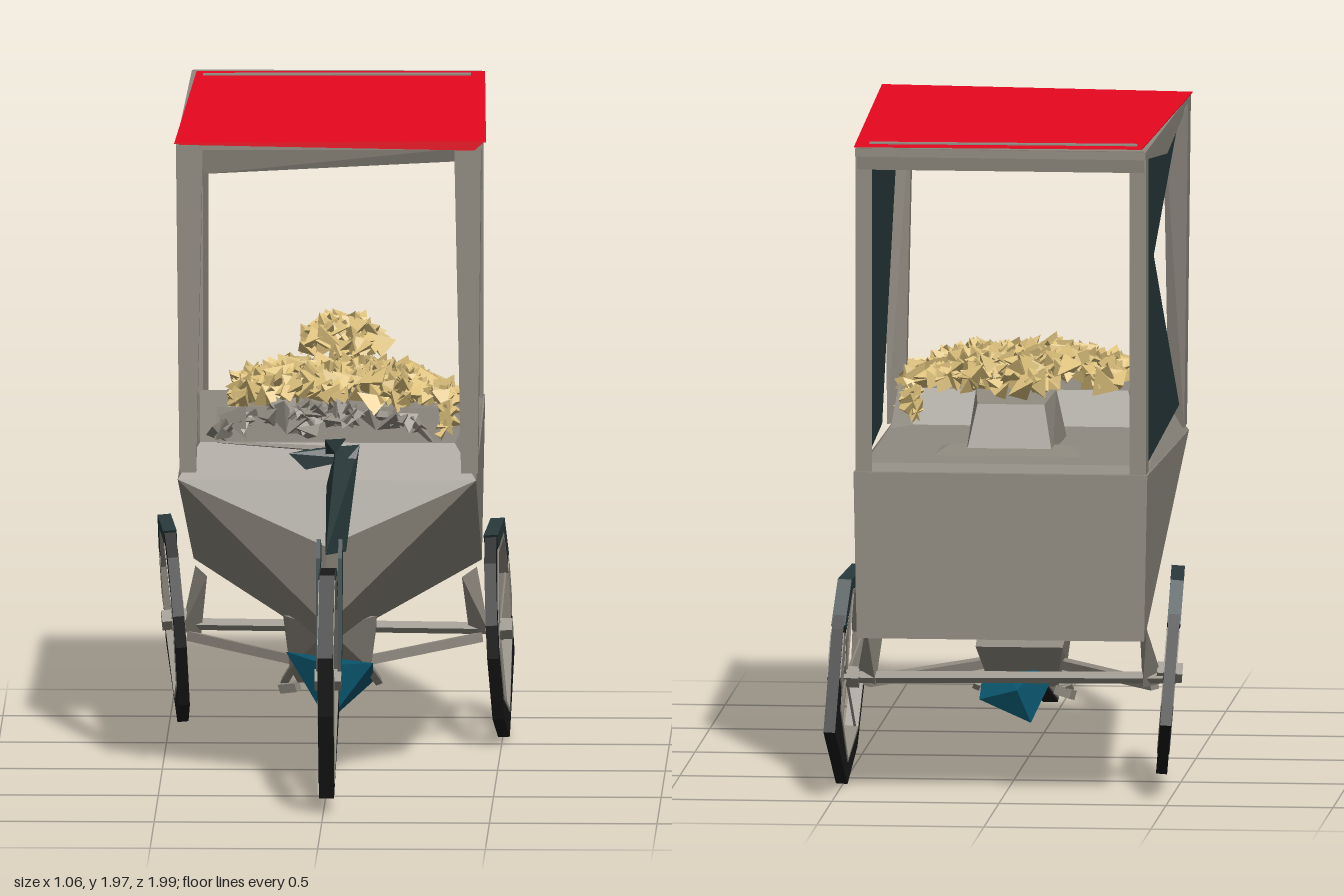
import * as THREE from 'three';
import { mergeGeometries } from 'three/addons/utils/BufferGeometryUtils.js';
import { ConvexGeometry } from 'three/addons/geometries/ConvexGeometry.js';

const paint = (name, color, double) => {
  const m = new THREE.MeshStandardMaterial({ color, flatShading: true });
  m.name = name;
  if (double) m.side = THREE.DoubleSide;
  return m;
};

export function createModel() {
  const root = new THREE.Group();
  root.name = 'cargoTricycle';
  const grey = paint('warmGrey', 0x8f8a80, true);
  const red = paint('roofRed', 0xea0620);
  const slate = paint('darkSlate', 0x293a3c, true);
  const gold = paint('strawGold', 0xdcc07c);
  const black = paint('tyreBlack', 0x1a1a1b);
  const blue = paint('deepBlue', 0x0a546c);

  const add = (name, geometry, material, parent = root) => {
    const mesh = new THREE.Mesh(geometry, material);
    mesh.name = name;
    parent.add(mesh);
    return mesh;
  };
  // convex solid around a few corner points
  const hull = (name, pts, material) =>
    add(name, new ConvexGeometry(pts.map(p => new THREE.Vector3(...p))), material);
  // the same point on both sides
  const both = (x, y, z) => [[x, y, z], [-x, y, z]];
  // flat plate in the z-y plane, centred on x
  const plate = (name, pts, x, thick, material, hole, parent) => {
    const toV = p => new THREE.Vector2(...p);
    const shape = new THREE.Shape(pts.map(toV));
    if (hole) shape.holes.push(new THREE.Path(hole.map(toV)));
    const g = new THREE.ExtrudeGeometry(shape, { depth: thick, bevelEnabled: false });
    g.rotateY(-Math.PI / 2).translate(x + thick / 2, 0, 0);
    return add(name, g, material, parent);
  };
  // straight bar between two points
  const bar = (name, a, b, r, material, parent, r2 = r) => {
    const A = new THREE.Vector3(...a), B = new THREE.Vector3(...b), d = B.clone().sub(A);
    const mesh = add(name, new THREE.CylinderGeometry(r2, r, d.length(), 4), material, parent);
    mesh.position.copy(A).add(B).multiplyScalar(0.5);
    mesh.quaternion.setFromUnitVectors(new THREE.Vector3(0, 1, 0), d.normalize());
  };

  // boat-shaped cargo body with raised deck
  hull('body', [...both(0.445, 0.94, 0.38), ...both(0.44, 0.99, -0.95), ...both(0.43, 0.49, -0.95),
    [0, 0.75, 0.455], [0, 0.5, 0.39], [0, 0.42, 0.25]], grey);
  hull('deck', [...both(0.445, 0.94, 0.38), ...both(0.44, 0.98, -0.94),
    ...both(0.38, 1.04, 0.3), ...both(0.41, 1.01, -0.88)], grey);
  hull('underbody', [[0, 0.47, 0.26], ...both(0.14, 0.47, 0), ...both(0.13, 0.38, -0.33),
    ...both(0.12, 0.3, -0.05), ...both(0.1, 0.24, -0.17)], grey);

  // corner posts
  for (const s of [-1, 1]) {
    const o = s > 0 ? 0.01 : 0, side = s > 0 ? 'left' : 'right';
    hull(side + 'FrontPost', [0, 1].flatMap(t => {
      const y = t ? 1.95 : 0.96, z = t ? 0.39 : 0.37, out = 0.44 + t * 0.01 + o, inn = 0.39 - t * 0.02 + o;
      return [[s * out, y, z], [s * inn, y, z], [s * out, y, z - 0.09], [s * inn, y, z - 0.05]];
    }), grey);
    hull(side + 'RearPost', [0.99, 1.95].flatMap(y =>
      [[s * 0.435, y, -0.935], [s * 0.385, y, -0.935], [s * 0.435, y, -0.86], [s * 0.4, y, -0.87]]), grey);
    plate(side + 'RoofRail', [[0.39, 1.955], [0.3, 1.9], [-0.24, 1.86], [-0.93, 1.94], [-0.94, 1.96]],
      s * 0.43, 0.012, grey);
  }
  // cross beams under the roof
  hull('frontBeam', [[-0.44, 1.945, 0.38], [0.46, 1.95, 0.38], [-0.36, 1.86, 0.36], [0.38, 1.9, 0.36],
    [-0.4, 1.94, 0.3], [0.4, 1.95, 0.3]], grey);
  hull('rearBeam', [...both(0.43, 1.966, -0.95), ...both(0.43, 1.9, -0.94), ...both(0.4, 1.95, -0.87)], grey);

  // roof
  hull('ceiling', [[-0.45, 1.953, 0.385], [0.465, 1.962, 0.385], ...both(0.435, 1.964, -0.95),
    [-0.45, 1.935, 0.385], [0.465, 1.94, 0.385], ...both(0.435, 1.94, -0.95)], grey);
  hull('roofCover', [[-0.455, 1.954, 0.39], [0.475, 1.963, 0.39], [-0.42, 1.965, -0.905], [0.44, 1.965, -0.93],
    [-0.455, 1.957, 0.39], [0.475, 1.968, 0.39], [-0.42, 1.968, -0.905], [0.44, 1.968, -0.93]], red);
  // red valance along the front edge
  hull('roofValance', [[-0.44, 1.955, 0.391], [0.47, 1.965, 0.391], [0.44, 1.938, 0.391], [-0.44, 1.952, 0.391],
    [-0.44, 1.955, 0.384], [0.47, 1.965, 0.384], [0.44, 1.938, 0.384]], red);
  const stripe = add('roofStripe', new THREE.BoxGeometry(0.8, 0.005, 0.03), grey);
  stripe.position.set(0, 1.969, -0.85);
  stripe.rotation.y = 0.03;

  // side curtains, each with its own cut-out
  plate('leftCurtain', [[0.28, 1.9], [-0.23, 1.87], [-0.9, 1.95], [-0.88, 1.0], [-0.27, 1.04], [-0.1, 1.32]],
    0.42, 0.01, slate);
  plate('rightCurtain', [[0.28, 1.9], [-0.23, 1.87], [-0.9, 1.95], [-0.88, 1.0], [0.28, 1.03], [-0.57, 1.6]],
    -0.42, 0.01, slate);

  // heaped goods: small angular chunks over a flat-topped mound
  let seed = 7;
  const rnd = () => (seed = (seed * 16807) % 2147483647) / 2147483647;
  const heap = (name, count, cx, cz, rx, rz, base, height, material, size) => {
    const parts = [];
    for (let i = 0; i < count; i++) {
      const a = rnd() * Math.PI * 2, r = Math.sqrt(rnd());
      const g = new THREE.TetrahedronGeometry(size * (0.6 + rnd() * 0.8));
      g.scale(1, 0.8, 1.2).rotateX(rnd() * 6).rotateY(rnd() * 6);
      const sq = 0.85 / Math.max(Math.abs(Math.cos(a)), Math.abs(Math.sin(a)));
      g.translate(cx + rx * r * sq * Math.cos(a), base + height * (1 - r ** 4) * (0.7 + 0.3 * rnd()),
        cz + rz * r * sq * Math.sin(a));
      parts.push(g);
    }
    add(name, mergeGeometries(parts), material);
  };
  hull('goodsBasket', [...both(0.34, 1.02, 0.27), ...both(0.33, 1.14, 0.26), ...both(0.34, 1.02, -0.2),
    ...both(0.31, 1.13, -0.14)], grey);
  heap('goods', 340, 0.01, 0.04, 0.34, 0.25, 1.15, 0.07, gold, 0.042);
  heap('goodsSides', 80, 0.34, 0.04, 0.02, 0.26, 1.06, 0.1, gold, 0.04);
  heap('packing', 60, -0.02, 0.26, 0.36, 0.03, 1.07, 0.06, grey, 0.045);
  hull('leftWedge', [[0.39, 1.03, 0.0], [0.38, 1.14, -0.1], [0.39, 1.02, -0.28], [0.25, 1.03, -0.1]], grey);
  // smaller box with its own pile on the rear deck
  hull('rearBox', [...both(0.15, 1.0, -0.36), ...both(0.13, 1.0, -0.66), ...both(0.12, 1.17, -0.42),
    ...both(0.1, 1.15, -0.6)], grey);
  heap('rearGoods', 70, 0.03, -0.52, 0.13, 0.11, 1.19, 0.09, gold, 0.04);
  hull('rearHatch', [...both(0.25, 1.0, -0.5), ...both(0.25, 1.0, -0.85), ...both(0.18, 1.03, -0.6)], grey);

  // irregular wheels: tyre, rim, hub and spokes
  const wheel = (name, outer, hole, hub, thick, spoke) => {
    const g = new THREE.Group();
    g.name = name;
    plate('tyre', outer, 0, thick, black, hole, g);
    const inset = k => hole.map(([z, y]) => [hub[0] + (z - hub[0]) * k, hub[1] + (y - hub[1]) * k]);
    plate('rim', inset(1.02), 0, thick + 0.005, grey, inset(0.97), g);
    hole.forEach(([z, y], i) => bar('spoke', [0, hub[1], hub[0]], [i % 2 ? 0.01 : -0.01, y, z], spoke, grey, g));
    bar('hub', [-0.04, hub[1], hub[0]], [0.04, hub[1], hub[0]], 0.032, grey, g);
    root.add(g);
    return g;
  };
  const rearOuter = [[0.33, 0.06], [0.28, 0.24], [0.19, 0.31], [-0.13, 0.31], [-0.25, 0.18], [-0.34, -0.12],
    [0.02, -0.325], [0.22, -0.24], [0.33, -0.04]];
  const rearHole = [[0.28, 0.1], [0.17, 0.26], [-0.09, 0.27], [-0.2, 0.14], [-0.23, -0.07], [-0.01, -0.25],
    [0.2, -0.18], [0.29, -0.02]];
  for (const s of [-1, 1]) {
    const w = wheel(s > 0 ? 'leftRearWheel' : 'rightRearWheel', rearOuter, rearHole, [0.01, 0], 0.035, 0.004);
    w.position.set(s > 0 ? 0.49 : -0.48, s > 0 ? 0.33 : 0.355, -0.65);
    w.rotation.set(0, s > 0 ? -0.04 : 0.08, s > 0 ? 0.045 : 0.08);
    if (s < 0) w.scale.setScalar(0.95);
    plate('tyreTop', [[0.2, 0.313], [-0.13, 0.313], [-0.24, 0.19], [-0.2, 0.17], [-0.09, 0.28], [0.17, 0.27]],
      0, 0.042, slate, null, w);
    plate('tyrePatch', [[-0.25, 0.17], [-0.29, 0.04], [-0.24, 0.0], [-0.21, 0.14]], 0, 0.042, grey, null, w);
  }
  const front = wheel('frontWheel',
    [[1, 0.5], [0.78, 0.715], [0.6, 0.71], [0.42, 0.58], [0.26, 0.46], [0.25, 0.2], [0.83, 0.05], [0.97, 0.32]],
    [[0.945, 0.53], [0.78, 0.695], [0.61, 0.69], [0.42, 0.56], [0.28, 0.34], [0.82, 0.1]],
    [0.65, 0.38], 0.045, 0.0025);
  front.position.x = 0.01;
  plate('tyreFlank', [[0.82, 0.06], [0.8, 0.11], [0.28, 0.33], [0.26, 0.21]], -0.024, 0.006, grey, null, front);
  plate('tyreTop', [[0.78, 0.714], [0.6, 0.71], [0.42, 0.58], [0.43, 0.57], [0.61, 0.692], [0.78, 0.697]],
    0, 0.052, slate, null, front);

  // fork, stem and handlebar
  for (const x of [-0.02, 0.045])
    plate('forkBlade', [[0.61, 0.74], [0.56, 0.79], [0.47, 0.76], [0.54, 0.58], [0.61, 0.37], [0.66, 0.38]],
      x, 0.012, slate);
  hull('steeringStem', [[0, 0.74, 0.55], [0.06, 0.74, 0.48], [0.0, 0.93, 0.44], [0.08, 0.95, 0.45],
    [0.1, 1.06, 0.46], [0.03, 1.06, 0.5]], slate);
  hull('handlebar', [[-0.11, 1.04, 0.51], [-0.06, 0.99, 0.5], [0.1, 1.06, 0.46], [0.09, 1.02, 0.48],
    [-0.05, 1.05, 0.48]], slate);
  hull('handlebarGrip', [[0, 1.1, 0.62], [0.03, 1.05, 0.57], [0.06, 1.08, 0.47], [0.0, 1.04, 0.52]], slate);
  bar('brakeLever', [0.05, 1.04, 0.43], [-0.32, 1.09, 0.61], 0.012, grey, root, 0.003);
  hull('headTube', [[0, 0.56, 0.36], [0.03, 0.54, 0.28], [0, 0.32, 0.25], [-0.03, 0.4, 0.27],
    [0.03, 0.4, 0.25]], slate);

  // blue lower frame
  hull('lowerFrame', [[0, 0.36, 0.25], [0, 0.19, 0.26], [-0.13, 0.37, 0.06], [0.13, 0.34, 0.08],
    [0.12, 0.22, -0.32], [-0.04, 0.16, -0.38], [0, 0.26, -0.4]], blue);

  // axle, brackets, crank and pedal
  bar('rearAxle', [-0.47, 0.34, -0.65], [0.48, 0.33, -0.65], 0.018, grey);
  for (const s of [-1, 1]) {
    hull('wheelBracket', [[s * 0.38, 0.5, -0.55], [s * 0.42, 0.5, -0.75], [s * 0.46, 0.32, -0.62],
      [s * 0.4, 0.31, -0.66]], grey);
    bar('frameStay', [s * 0.1, 0.31, -0.15], [s * 0.43, 0.31, -0.6], 0.02, grey);
    bar('crank', [s * 0.1, 0.32, -0.08], [s * 0.14, 0.24, -0.2], 0.015, grey);
  }
  bar('pedal', [-0.1, 0.23, -0.17], [-0.15, 0.22, -0.2], 0.02, grey);
  return root;
}
